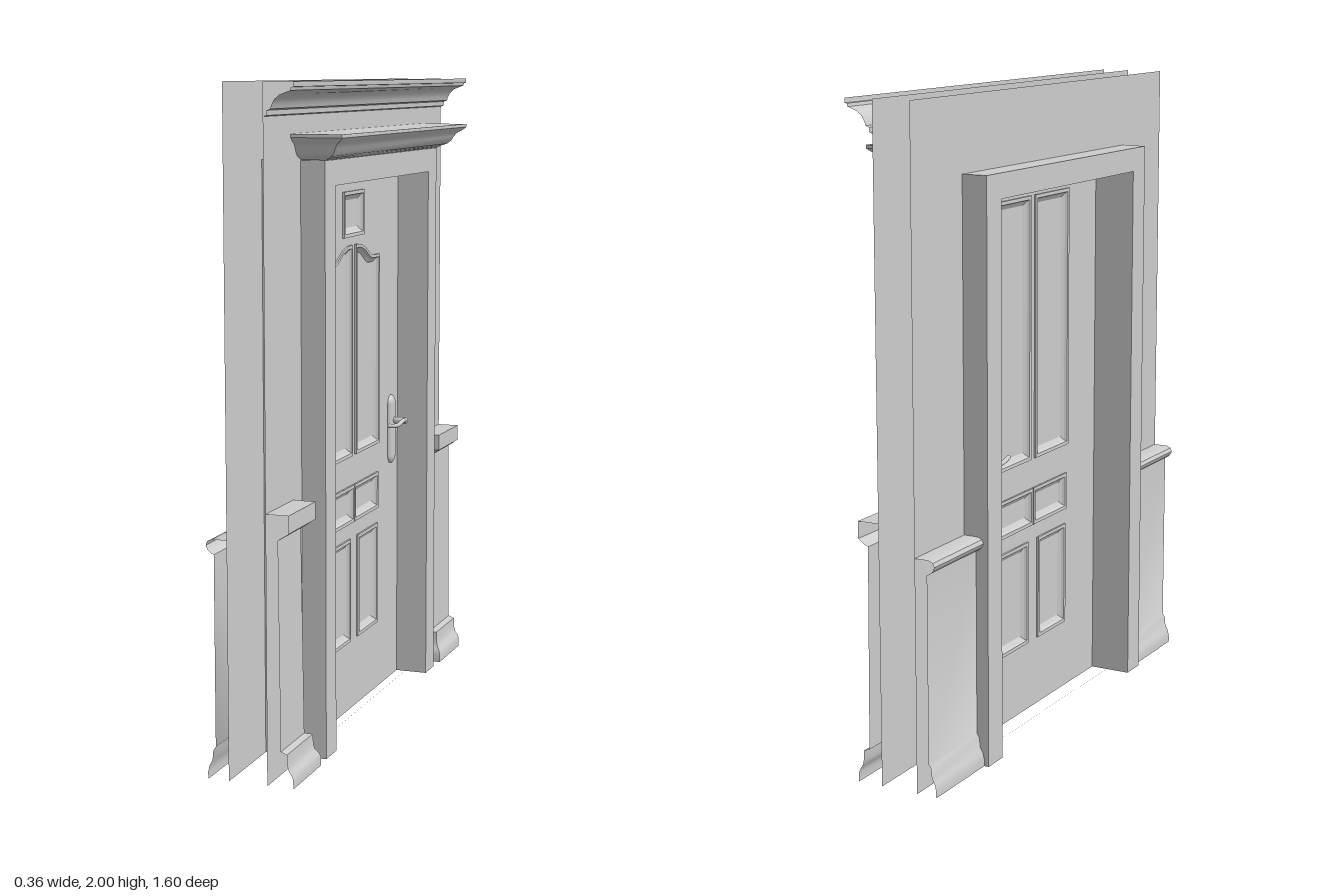
import * as THREE from 'three';
import { toCreasedNormals } from 'three/addons/utils/BufferGeometryUtils.js';

const solid = new THREE.MeshStandardMaterial({ color: 0xcccccc });
const sheet = new THREE.MeshStandardMaterial({ color: 0xcccccc, side: THREE.DoubleSide });

function add(parent, name, geometry, material = solid) {
  const mesh = new THREE.Mesh(geometry, material);
  mesh.name = name;
  parent.add(mesh);
  return mesh;
}

// Skin between rows of points (rows run bottom to top, or outside to inside)
function skin(rows, crease = 0.6) {
  const n = rows[0].length, index = [];
  for (let r = 0; r < rows.length - 1; r++) {
    for (let c = 0; c < n - 1; c++) {
      const a = r * n + c, d = a + n;
      index.push(a, a + 1, d + 1, a, d + 1, d);
    }
  }
  const g = new THREE.BufferGeometry();
  g.setAttribute('position', new THREE.Float32BufferAttribute(rows.flat(2), 3));
  g.setIndex(index);
  return toCreasedNormals(g.toNonIndexed(), crease);
}

// Moulding: profile of [depth, y]; path(depth) gives mitred [x, z] points, left to right
const moulding = (profile, path) =>
  skin(profile.map(([d, y]) => path(d).map(([x, z]) => [x, y, z])));

function rectShape(x0, y0, x1, y1) {
  return new THREE.Shape([[x0, y0], [x1, y0], [x1, y1], [x0, y1]].map(p => new THREE.Vector2(...p)));
}

// Outline of a door panel as a counter-clockwise loop of points
function outline(shape, side = 1) {
  const pts = shape.getPoints(12).map(p => new THREE.Vector2(p.x * side, p.y));
  if (pts[0].distanceTo(pts[pts.length - 1]) < 1e-5) pts.pop();
  return THREE.ShapeUtils.isClockWise(pts) ? pts.reverse() : pts;
}

// Raised bead stepping down into a recessed field
const PANEL_STEPS = [[0, -0.004], [0, 0.006], [0.011, 0.006], [0.016, -0.002], [0.028, -0.01]];

function addPanel(parent, pts, faceZ) {
  const box = new THREE.Box2().setFromPoints(pts);
  const mid = box.getCenter(new THREE.Vector2()), size = box.getSize(new THREE.Vector2());
  const inset = i => pts.map(p => new THREE.Vector2(
    mid.x + (p.x - mid.x) * (1 - 2 * i / size.x),
    mid.y + (p.y - mid.y) * (1 - 2 * i / size.y)));
  const rows = PANEL_STEPS.map(([i, h]) => {
    const loop = inset(i).map(p => [p.x, p.y, faceZ + h]);
    return [...loop, loop[0]];
  });
  add(parent, 'panelMoulding', skin(rows, 0.4));
  const [lastInset, lastDepth] = PANEL_STEPS[PANEL_STEPS.length - 1];
  const field = new THREE.ShapeGeometry(new THREE.Shape(inset(lastInset)));
  add(parent, 'panelField', field.translate(0, 0, faceZ + lastDepth));
}

// Half the door thickness with its panels, facing +z
function addDoorFace(parent, panels, backZ, faceZ) {
  const shape = rectShape(-0.437, 0, 0.437, 1.702);
  shape.holes = panels.map(pts => new THREE.Path(pts));
  const g = new THREE.ExtrudeGeometry(shape, { depth: faceZ - backZ, bevelEnabled: false });
  add(parent, 'doorLeaf', g.translate(0, 0, backZ));
  panels.forEach(pts => addPanel(parent, pts, faceZ));
}

// Lever handle; dir is the way the lever points along x
function addHandle(parent, x, faceZ, dir) {
  const handle = new THREE.Group();
  handle.name = 'handle';
  handle.position.set(x, 0.85, faceZ);
  const plate = add(handle, 'handlePlate', new THREE.CapsuleGeometry(0.029, 0.172, 8, 20));
  plate.scale.z = 0.5;
  const neck = add(handle, 'handleNeck', new THREE.CylinderGeometry(0.011, 0.011, 0.05, 16));
  neck.rotation.x = Math.PI / 2;
  neck.position.set(0, 0.03, 0.025);
  const path = new THREE.CatmullRomCurve3([
    [0, 0.03, 0.05], [0.03, 0.034, 0.053], [0.065, 0.027, 0.051], [0.1, 0.028, 0.047], [0.135, 0.034, 0.043],
  ].map(([px, py, pz]) => new THREE.Vector3(px * dir, py, pz)));
  add(handle, 'handleLever', new THREE.TubeGeometry(path, 28, 0.007, 10));
  for (const t of [0, 1]) {
    add(handle, 'leverEnd', new THREE.SphereGeometry(t ? 0.007 : 0.011, 14, 10)).position.copy(path.getPoint(t));
  }
  parent.add(handle);
}

function addWall(parent, name, z) {
  const shape = rectShape(-0.8, 0, 0.8, 2);
  shape.holes.push(rectShape(-0.5, 0.0005, 0.5, 1.75));
  add(parent, name, new THREE.ShapeGeometry(shape).translate(0, 0, z), sheet);
}

export function createModel() {
  const model = new THREE.Group();
  model.name = 'doorway';
  // Built facing +z, then turned so the door faces +x
  const front = new THREE.Group();
  front.name = 'frontSide';
  front.rotation.y = Math.PI / 2;
  const back = new THREE.Group();
  back.name = 'backSide';
  back.rotation.y = -Math.PI / 2;
  model.add(front, back);

  const wallZ = 0.02, backWallZ = 0.1;
  addWall(front, 'frontWall', wallZ);
  addWall(back, 'backWall', backWallZ);

  // Door frame
  const frame = new THREE.Shape([
    [-0.52, 0], [-0.435, 0], [-0.435, 1.7], [0.435, 1.7], [0.435, 0], [0.52, 0], [0.52, 1.775], [-0.52, 1.775],
  ].map(p => new THREE.Vector2(...p)));
  add(front, 'doorFrame', new THREE.ExtrudeGeometry(frame, { depth: 0.275, bevelEnabled: false }).translate(0, 0, -0.18));

  // Panels shared by both faces of the door, then those of each face
  const arch = new THREE.Shape();
  arch.moveTo(0.015, 0.825);
  arch.lineTo(0.238, 0.825);
  arch.lineTo(0.238, 1.445);
  arch.lineTo(0.19, 1.445);
  arch.bezierCurveTo(0.13, 1.445, 0.11, 1.495, 0.015, 1.492);
  arch.closePath();
  const frontPanels = [outline(rectShape(-0.093, 1.518, 0.093, 1.66))], backPanels = [];
  for (const side of [-1, 1]) {
    for (const list of [frontPanels, backPanels]) {
      list.push(outline(rectShape(0.002, 0.61, 0.227, 0.73), side));
      list.push(outline(rectShape(0.033, 0.225, 0.222, 0.56), side));
    }
    frontPanels.push(outline(arch, side));
    backPanels.push(outline(rectShape(0.015, 0.825, 0.238, 1.66), side));
  }
  addDoorFace(front, frontPanels, -0.0275, -0.01);
  addDoorFace(back, backPanels, 0.0275, 0.045);
  addHandle(front, 0.365, -0.01, -1);
  addHandle(back, -0.365, 0.045, 1);

  // Crown moulding along the top of the front wall
  const crown = [[0, 1.905], [0.01, 1.908], [0.011, 1.922], [0.022, 1.926], [0.026, 1.938], [0.034, 1.952],
    [0.048, 1.964], [0.066, 1.971], [0.08, 1.976], [0.083, 1.985], [0.09, 1.986], [0.09, 2]];
  add(front, 'crownMoulding', moulding(crown, d => [[-0.8, wallZ + d], [0.8, wallZ + d]]), sheet);

  // Cornice over the door, returned to the wall at both ends
  const cornice = [[0, 1.776], [0.078, 1.776], [0.088, 1.782], [0.104, 1.788], [0.115, 1.798], [0.122, 1.812],
    [0.131, 1.824], [0.143, 1.831], [0.148, 1.835], [0.155, 1.842], [0.155, 1.852], [0, 1.852]];
  add(front, 'doorCornice', moulding(cornice, d => {
    const x = 0.44 + d;
    return [[-x, wallZ], [-x, wallZ + d], [x, wallZ + d], [x, wallZ]];
  }), sheet);
  // Flat top closing the cornice
  add(front, 'corniceTop', new THREE.BoxGeometry(1.19, 0.004, 0.155).translate(0, 1.85, wallZ + 0.0775));

  // Wainscots: front ones return to the wall beside the door, back ones meet the frame
  const frontWainscot = [[0.08, 0], [0.08, 0.028], [0.075, 0.04], [0.067, 0.052], [0.063, 0.065], [0.061, 0.1],
    [0.042, 0.107], [0.036, 0.725], [0.048, 0.73], [0.058, 0.738], [0.069, 0.745], [0.069, 0.797], [0, 0.797]];
  const backWainscot = [[0.065, 0], [0.065, 0.022], [0.06, 0.042], [0.051, 0.058], [0.048, 0.088], [0.04, 0.1],
    [0.04, 0.668], [0.05, 0.673], [0.06, 0.682], [0.065, 0.694], [0.06, 0.706], [0.046, 0.712], [0, 0.712]];
  for (const side of [-1, 1]) {
    const order = path => (side < 0 ? path : path.reverse());
    add(front, 'frontWainscot', moulding(frontWainscot, d => {
      const end = side * (0.657 - d);
      return order([[side * 0.8, wallZ + d], [end, wallZ + d], [end, wallZ]]);
    }), sheet);
    add(back, 'backWainscot', moulding(backWainscot, d =>
      order([[side * 0.8, backWallZ + d], [side * 0.52, backWallZ + d]])), sheet);
  }
  return model;
}
